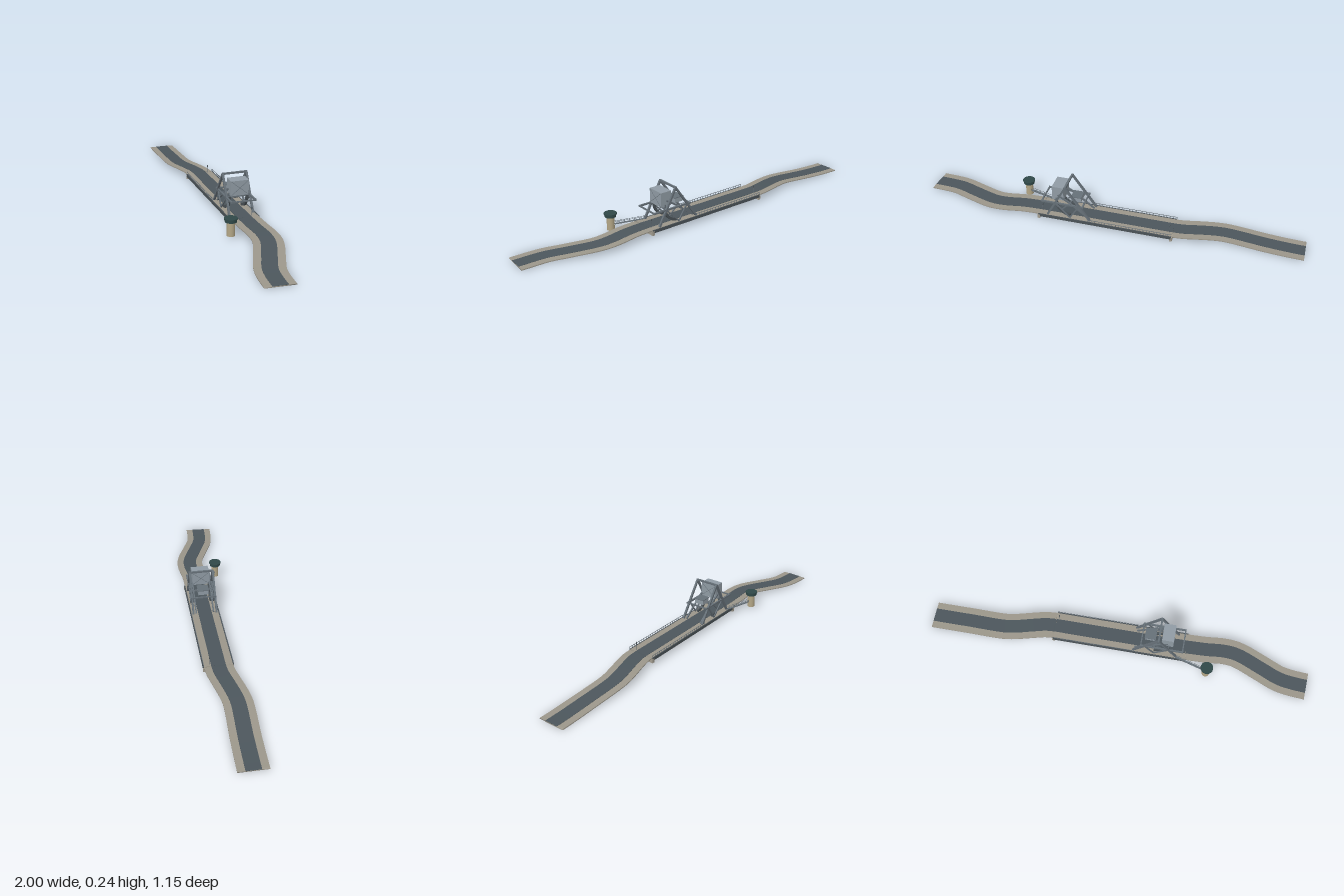
import * as THREE from 'three';

const mat = (color, side = THREE.FrontSide) => new THREE.MeshStandardMaterial({ color, side });
const steel = mat(0x667078), darkSteel = mat(0x4a5257), asphalt = mat(0x4c565c);
const pavement = mat(0x9b968a), concrete = mat(0xa39d90), plate = mat(0x909ba4);
const stone = mat(0xb3a686), roofGreen = mat(0x2f4848);

const WIDTH = 0.155, DECK = 0.04, HALF = 0.382, SIDE = 0.067;

function add(parent, name, geometry, material, x = 0, y = 0, z = 0) {
  const mesh = new THREE.Mesh(geometry, material);
  mesh.name = name;
  mesh.position.set(x, y, z);
  parent.add(mesh);
  return mesh;
}

const box = (parent, name, w, h, d, material, x, y, z) =>
  add(parent, name, new THREE.BoxGeometry(w, h, d), material, x, y, z);

// Square bar running from a to b
function beam(parent, name, a, b, size, material = steel) {
  const from = new THREE.Vector3(...a), to = new THREE.Vector3(...b);
  const bar = box(parent, name, size, size, from.distanceTo(to), material, 0, 0, 0);
  bar.position.copy(from).lerp(to, 0.5);
  bar.lookAt(to);
  return bar;
}

// Flat slab swept along a plan curve; heightAt(u) gives the top surface
function ribbon(curve, width, thickness, heightAt) {
  const steps = 48, pos = [], index = [];
  for (let i = 0; i <= steps; i++) {
    const u = i / steps, p = curve.getPointAt(u), d = curve.getTangentAt(u);
    const y = heightAt(u), nx = -d.y * width / 2, nz = d.x * width / 2;
    const c = [[p.x + nx, y, p.y + nz], [p.x - nx, y, p.y - nz],
      [p.x - nx, y - thickness, p.y - nz], [p.x + nx, y - thickness, p.y + nz]];
    // each corner is stored twice so the edges stay sharp
    for (let k = 0; k < 4; k++) pos.push(...c[k], ...c[(k + 1) % 4]);
  }
  for (let i = 0; i < steps; i++) {
    for (let k = 0; k < 4; k++) {
      const a = i * 8 + k * 2, b = a + 8;
      index.push(a, b, a + 1, a + 1, b, b + 1);
    }
  }
  for (const [o, flip] of [[0, false], [steps * 8, true]]) {
    index.push(...(flip ? [o, o + 4, o + 2, o, o + 6, o + 4] : [o, o + 2, o + 4, o, o + 4, o + 6]));
  }
  const g = new THREE.BufferGeometry();
  g.setAttribute('position', new THREE.Float32BufferAttribute(pos, 3));
  g.setIndex(index);
  g.computeVertexNormals();
  return g;
}

// Approach road easing down from the bridge to the ground
function approach(name, points, rising) {
  const group = new THREE.Group();
  group.name = name;
  const curve = new THREE.SplineCurve(points.map(p => new THREE.Vector2(...p)));
  const height = u => 0.005 + (DECK - 0.005) * THREE.MathUtils.smoothstep(rising ? u : 1 - u, 0, 0.95);
  add(group, 'pavement', ribbon(curve, WIDTH, 0.005, height), pavement);
  add(group, 'carriageway', ribbon(curve, 0.078, 0.002, u => height(u) + 0.0012), asphalt);
  return group;
}

function buildSpan() {
  const span = new THREE.Group();
  span.name = 'span';
  box(span, 'deck', HALF * 2, 0.006, WIDTH, pavement, 0, DECK - 0.003, 0);
  box(span, 'carriageway', HALF * 2, 0.002, 0.078, asphalt, 0, DECK + 0.0003, 0);
  for (const s of [-1, 1]) {
    box(span, 'pier', 0.014, 0.025, 0.166, concrete, s * (HALF - 0.002), 0.0225, 0);
    box(span, 'sideGirder', HALF * 2, 0.017, 0.006, darkSteel, 0, 0.032, s * 0.08);
    // Railing
    const z = s * 0.08, start = -HALF, end = 0.09, count = 24;
    beam(span, 'handrail', [start, 0.054, z], [end, 0.054, z], 0.002);
    for (let i = 0; i <= count; i++) {
      box(span, 'railPost', 0.002, 0.015, 0.002, steel, start + (end - start) * i / count, 0.047, z);
    }
    // Signal post at each end
    add(span, 'signalPost', new THREE.CylinderGeometry(0.0015, 0.0015, 0.05, 8), steel, s * 0.366, 0.065, -0.045);
    box(span, 'signalHead', 0.004, 0.01, 0.005, darkSteel, s * 0.366, 0.083, -0.045);
  }
  return span;
}

function buildTower() {
  const tower = new THREE.Group();
  tower.name = 'liftTower';
  const apex = 0.222, top = 0.238, mid = 0.125;
  for (const s of [-1, 1]) {
    const z = s * SIDE, zr = s * 0.05;
    // A-frame legs and platform beam
    beam(tower, 'frontLeg', [0.083, DECK, z], [apex, top, z], 0.011);
    beam(tower, 'rearLeg', [0.33, DECK, z], [apex, top, z], 0.011);
    beam(tower, 'platformBeam', [0.12, mid, z], [0.366, mid, z], 0.009);
    beam(tower, 'diagonalBrace', [0.2, DECK, z], [0.145, mid, z], 0.007);
    beam(tower, 'diagonalBrace', [0.2, DECK, z], [0.283, mid, z], 0.007);
    // Curved rocker that the leaf rolls on
    const shape = new THREE.Shape();
    shape.absarc(0, 0, 0.087, -Math.PI / 2, 0, false);
    shape.absarc(0, 0, 0.073, 0, -Math.PI / 2, true);
    const g = new THREE.ExtrudeGeometry(shape, { depth: 0.012, bevelEnabled: false, curveSegments: 20 });
    add(tower, 'rocker', g.translate(0, 0, -0.006), darkSteel, 0.2, mid + 0.002, zr);
    // Arms between rocker, leaf and counterweight
    beam(tower, 'rockerSpoke', [0.2, mid, zr], [0.26, 0.066, zr], 0.006);
    beam(tower, 'leafArm', [0.09, DECK, zr], [0.2, mid, zr], 0.008);
    beam(tower, 'counterweightArm', [0.2, mid, zr], [0.272, 0.17, zr], 0.009);
    beam(tower, 'counterweightHanger', [0.28, mid, zr], [0.28, 0.15, zr], 0.009);
  }
  // Beams across the roadway
  beam(tower, 'topCrossbeam', [apex, top, -SIDE - 0.005], [apex, top, SIDE + 0.005], 0.01);
  for (const x of [0.125, 0.2, 0.28, 0.362]) {
    beam(tower, 'platformCrossbeam', [x, mid, -SIDE], [x, mid, SIDE], 0.007);
  }
  // Counterweight with edge ribs
  box(tower, 'counterweight', 0.066, 0.082, 0.1, plate, 0.272, 0.179, 0);
  for (const x of [0.239, 0.305]) {
    for (const s of [-1, 1]) {
      beam(tower, 'counterweightBrace', [x, 0.14, -s * 0.048], [x, 0.218, s * 0.048], 0.002);
    }
  }
  // Machinery house on the platform
  box(tower, 'machineryHouse', 0.054, 0.028, 0.058, plate, 0.171, 0.143, 0);
  box(tower, 'machineryRoof', 0.06, 0.004, 0.064, steel, 0.171, 0.158, 0);
  return tower;
}

function buildControlHouse() {
  const house = new THREE.Group();
  house.name = 'controlHouse';
  const x = 0.438, z = 0.272;
  add(house, 'shaft', new THREE.CylinderGeometry(0.021, 0.021, 0.078, 24), stone, x, 0.049, z);
  add(house, 'cabin', new THREE.CylinderGeometry(0.031, 0.031, 0.014, 24), roofGreen, x, 0.093, z);
  add(house, 'roof', new THREE.CylinderGeometry(0.035, 0.035, 0.007, 24), roofGreen, x, 0.103, z);
  // Footbridge from the span to the shaft
  const a = new THREE.Vector3(0.3, DECK, 0.142), b = new THREE.Vector3(0.425, DECK, 0.255);
  const walk = new THREE.Group();
  walk.name = 'footbridge';
  walk.position.copy(a).lerp(b, 0.5);
  walk.lookAt(b);
  const length = a.distanceTo(b);
  box(walk, 'walkway', 0.012, 0.003, length, steel, 0, 0, 0);
  for (const s of [-1, 1]) {
    box(walk, 'walkRail', 0.0015, 0.0015, length, steel, s * 0.006, 0.014, 0);
    for (let i = 0; i <= 6; i++) {
      box(walk, 'walkPost', 0.0015, 0.014, 0.0015, steel, s * 0.006, 0.007, (i / 6 - 0.5) * length);
    }
  }
  house.add(walk);
  return house;
}

export function createModel() {
  const model = new THREE.Group();
  model.name = 'liftBridge';
  model.add(approach('rightApproach', [[-0.967, -0.51], [-0.78, -0.415], [-0.62, -0.33], [-0.54, -0.298],
    [-0.42, -0.27], [-0.36, -0.256], [-0.307, -0.235]], true));
  model.add(approach('leftApproach', [[0.378, 0.102], [0.48, 0.147], [0.58, 0.185], [0.655, 0.233],
    [0.75, 0.335], [0.82, 0.412], [0.88, 0.457], [0.963, 0.505]], false));
  // Bridge is laid out along its own x axis, then turned into line
  const bridge = new THREE.Group();
  bridge.name = 'bridge';
  bridge.position.set(0.0355, 0, -0.0665);
  bridge.rotation.y = -Math.atan2(0.337, 0.685);
  bridge.add(buildSpan(), buildTower());
  model.add(bridge, buildControlHouse());
  return model;
}
